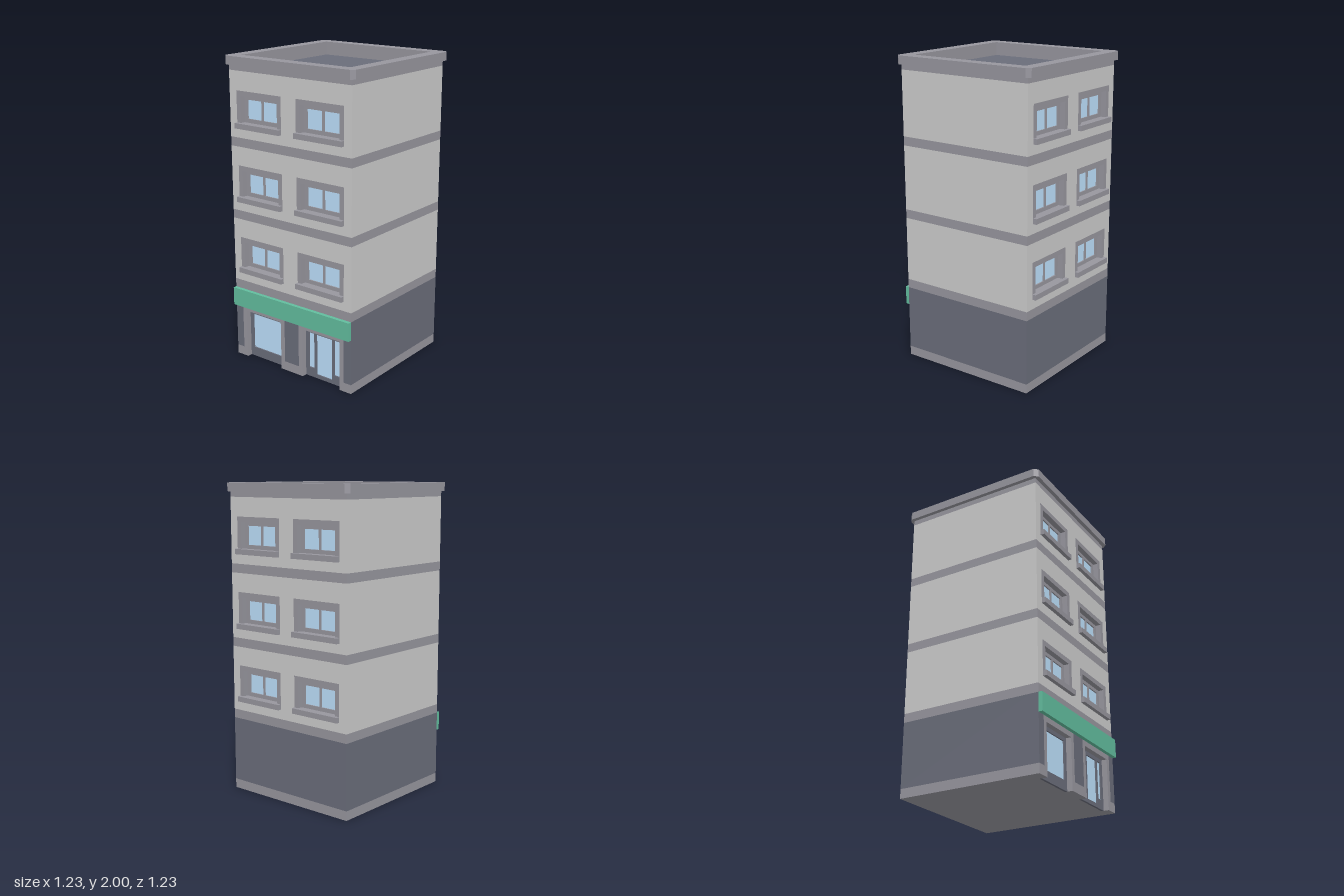
import * as THREE from 'three';

const material = (color) => new THREE.MeshStandardMaterial({ color, flatShading: true });
const WALL = material(0xcccccc);
const TRIM = material(0x97969e);
const DARK = material(0x6a6d7a);
const GLASS = material(0xbde0fc);
const GREEN = material(0x62bd9e);

const HALF = 0.475;      // half width of the building
const CORE = 0.425;      // half depth of the core behind the facades
const BAY = 0.238;       // distance of each window bay from the middle
const FLOOR = 0.477;     // storey height
const SURROUND = 0.18;   // half width of a window surround
const OPENING = 0.148;   // half width of a window opening

function add(parent, name, geometry, mat) {
  const mesh = new THREE.Mesh(geometry, mat);
  mesh.name = name;
  parent.add(mesh);
  return mesh;
}

// Box given by its limits on each axis
function box(parent, name, mat, x0, x1, y0, y1, z0, z1) {
  const mesh = add(parent, name, new THREE.BoxGeometry(x1 - x0, y1 - y0, z1 - z0), mat);
  mesh.position.set((x0 + x1) / 2, (y0 + y1) / 2, (z0 + z1) / 2);
  return mesh;
}

const rect = (x0, x1, y0, y1) =>
  [[x0, y0], [x1, y0], [x1, y1], [x0, y1]].map(([x, y]) => new THREE.Vector2(x, y));

// Flat panel with holes, running from z0 to z1
function panel(parent, name, mat, outline, holes, z0, z1) {
  const shape = new THREE.Shape(outline);
  holes.forEach((h) => shape.holes.push(new THREE.Path(h)));
  const geometry = new THREE.ExtrudeGeometry(shape, { depth: z1 - z0, bevelEnabled: false });
  geometry.translate(0, 0, z0);
  return add(parent, name, geometry, mat);
}

// Frame with glass panes set a little behind its face; panes are [x0, x1, y0, y1]
function glazing(parent, mat, outline, panes) {
  panel(parent, 'frame', mat, outline, panes.map((p) => rect(...p)), CORE, CORE + 0.015);
  panes.forEach((p) => box(parent, 'glass', GLASS, ...p, CORE, CORE + 0.007));
}

// Upper window: surround, sill and two panes, measured from the sill's underside
function makeWindow() {
  const g = new THREE.Group();
  g.name = 'window';
  panel(g, 'surround', TRIM, rect(-SURROUND, SURROUND, 0, 0.235),
    [rect(-OPENING, OPENING, 0.033, 0.202)], CORE, HALF);
  box(g, 'sill', TRIM, -SURROUND, SURROUND, 0, 0.034, HALF - 0.02, HALF + 0.025);
  glazing(g, TRIM, rect(-OPENING, OPENING, 0.033, 0.202),
    [[-0.122, -0.007, 0.058, 0.178], [0.007, 0.122, 0.058, 0.178]]);
  return g;
}

// Facade of one upper storey with two windows
function makeStorey(y0, y1, sillY) {
  const g = new THREE.Group();
  g.name = 'storeyFacade';
  const holes = [-BAY, BAY].map((x) => rect(x - SURROUND, x + SURROUND, sillY, sillY + 0.235));
  panel(g, 'facadeWall', WALL, rect(-HALF, HALF, y0, y1), holes, CORE, HALF);
  for (const x of [-BAY, BAY]) {
    const w = makeWindow();
    w.position.set(x, sillY, 0);
    g.add(w);
  }
  return g;
}

// Street front of the ground floor
function makeShopfront() {
  const g = new THREE.Group();
  g.name = 'shopfront';
  const inner = BAY - SURROUND, outer = BAY + SURROUND;
  for (const [x0, x1] of [[-HALF, -outer], [-inner, inner], [outer, HALF]]) {
    box(g, 'pierPlinth', TRIM, x0, x1, 0, 0.06, CORE, HALF);
    box(g, 'pier', DARK, x0, x1, 0.06, 0.36, CORE, HALF);
  }
  box(g, 'lintel', DARK, -HALF, HALF, 0.36, 0.48, CORE, HALF);
  box(g, 'signBoard', GREEN, -HALF, HALF, 0.36, 0.48, HALF, HALF + 0.025);
  const bays = {
    shopWindow: [[-0.122, 0.122, 0.062, 0.302]],
    entrance: [[-0.122, -0.08, 0.062, 0.302], [-0.062, 0.062, 0.025, 0.302], [0.08, 0.122, 0.062, 0.302]],
  };
  Object.entries(bays).forEach(([name, panes], i) => {
    const bay = new THREE.Group();
    bay.name = name;
    bay.position.x = i ? BAY : -BAY;
    const arch = [[-SURROUND, 0], [-OPENING, 0], [-OPENING, 0.327], [OPENING, 0.327], [OPENING, 0],
      [SURROUND, 0], [SURROUND, 0.36], [-SURROUND, 0.36]].map(([x, y]) => new THREE.Vector2(x, y));
    panel(bay, 'surround', TRIM, arch, [], CORE, HALF);
    glazing(bay, DARK, rect(-OPENING, OPENING, 0, 0.327), panes);
    g.add(bay);
  });
  return g;
}

// Square ring lying flat, with optional cut corners
function ring(parent, name, mat, half, cut, hole, y0, y1) {
  const outline = [];
  for (const [sx, sy] of [[1, 1], [-1, 1], [-1, -1], [1, -1]]) {
    const a = new THREE.Vector2(sx * half, sy * (half - cut));
    const b = new THREE.Vector2(sx * (half - cut), sy * half);
    if (cut === 0) outline.push(a);
    else outline.push(...(sx * sy > 0 ? [a, b] : [b, a]));
  }
  const mesh = panel(parent, name, mat, outline, [rect(-hole, hole, -hole, hole)], 0, y1 - y0);
  mesh.rotation.x = -Math.PI / 2;
  mesh.position.y = y0;
}

export function createModel() {
  const model = new THREE.Group();
  model.name = 'building';
  const body = new THREE.Group();
  body.name = 'body';
  body.rotation.y = 0.288;   // the building stands at a slight angle
  model.add(body);

  const back = new THREE.Group();
  back.name = 'backFacade';
  back.rotation.y = Math.PI;
  body.add(back);

  // Ground floor: solid at the back and sides, shopfront at the front
  box(body, 'plinth', TRIM, -HALF, HALF, 0, 0.06, -HALF, CORE);
  box(body, 'groundFloor', DARK, -HALF, HALF, 0.06, 0.48, -HALF, CORE);
  body.add(makeShopfront());

  // Upper storeys, each with a string course below it
  for (let i = 0; i < 3; i++) {
    const y = 0.48 + i * FLOOR;
    const top = y + FLOOR;
    box(body, 'stringCourse', TRIM, -HALF, HALF, y, y + 0.058, -HALF, HALF);
    box(body, 'storeyCore', WALL, -HALF, HALF, y + 0.058, top, -CORE, CORE);
    body.add(makeStorey(y + 0.058, top, y + 0.12));
    back.add(makeStorey(y + 0.058, top, y + 0.12));
  }

  // Roof: sunken deck inside a parapet with an overhanging coping
  ring(body, 'parapet', TRIM, HALF, 0, 0.419, 1.911, 1.945);
  ring(body, 'coping', TRIM, 0.5, 0.024, 0.419, 1.945, 2);
  box(body, 'roofDeck', DARK, -0.419, 0.419, 1.9, 1.913, -0.419, 0.419);
  return model;
}
